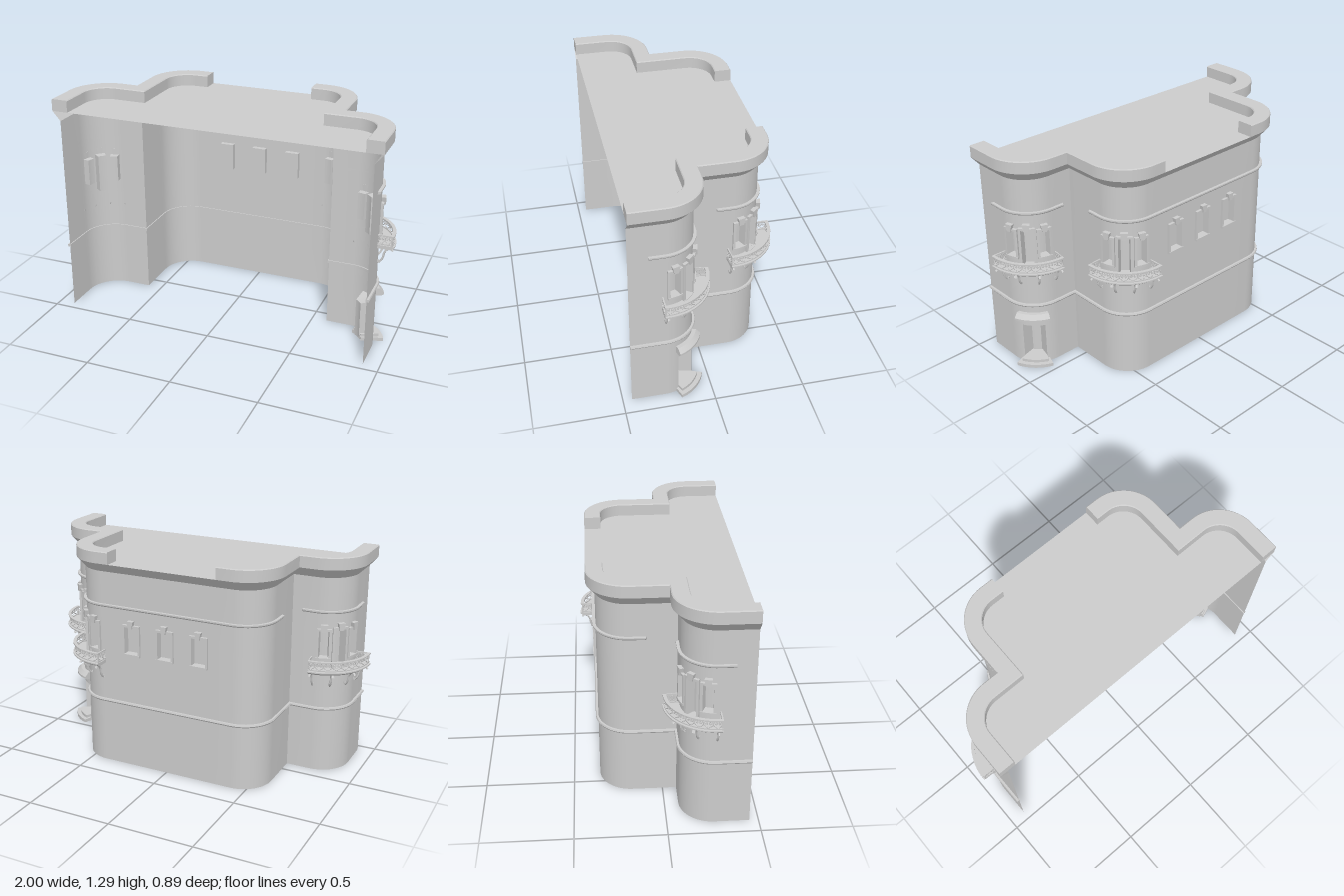
import * as THREE from 'three';
import { toCreasedNormals } from 'three/addons/utils/BufferGeometryUtils.js';

const W = 0.907, T = 0.587, FRONT = 0.45, B = 0.078, K = -0.35, R = 0.18, ARC = 16;
const mat = new THREE.MeshStandardMaterial({ color: 0xcccccc, side: THREE.DoubleSide });

// Wall plan from the left front end, round the back, to the right front end:
// each node has a position (x, z) and an outward offset direction (nx, nz).
const half = [{ x: W, z: FRONT, nx: 1, nz: 0 }];
function roundCorner(cx, cz) {
  for (let i = 0; i <= ARC; i++) {
    const a = (i / ARC) * Math.PI / 2, nx = Math.cos(a), nz = -Math.sin(a);
    half.push({ x: cx + R * nx, z: cz + R * nz, nx, nz });
  }
}
roundCorner(W - R, B + R);
half.push({ x: T, z: B, nx: 1, nz: -1 });
roundCorner(T - R, K + R);
const nodes = [...half, ...half.map(n => ({ ...n, x: -n.x, nx: -n.nx })).reverse()];
const S = [0];
for (let i = 1; i < nodes.length; i++) {
  S.push(S[i - 1] + Math.hypot(nodes[i].x - nodes[i - 1].x, nodes[i].z - nodes[i - 1].z));
}
const TOTAL = S[S.length - 1], MID = TOTAL / 2;
const WING = S[1 + ARC / 2], TOWER = S[3 + ARC + ARC / 2];

// Point at distance s along the wall, height y and offset d outward
function P(s, y, d) {
  let i = 0;
  while (i < S.length - 2 && S[i + 1] < s) i++;
  const a = nodes[i], b = nodes[i + 1], t = (s - S[i]) / (S[i + 1] - S[i]);
  const mix = k => a[k] + (b[k] - a[k]) * t;
  return [mix('x') + mix('nx') * d, y, mix('z') + mix('nz') * d];
}
const quad = (out, a, b, c, d) => out.push(...a, ...b, ...c, ...a, ...c, ...d);
function stations(s0, s1, extra = []) {
  const all = [s0, s1, ...S, ...extra].filter(s => s >= s0 && s <= s1).sort((a, b) => a - b);
  return all.filter((s, i) => i === 0 || s - all[i - 1] > 1e-5);
}
function meshOf(name, tris) {
  const g = new THREE.BufferGeometry();
  g.setAttribute('position', new THREE.Float32BufferAttribute(tris, 3));
  const m = new THREE.Mesh(toCreasedNormals(g, 0.5), mat);
  m.name = name;
  return m;
}
// Convex (d, y) profile carried along the wall from s0 to s1
function sweep(name, profile, s0, s1, closed = true) {
  const out = [], st = stations(s0, s1), n = profile.length;
  for (let i = 0; i < st.length - 1; i++) {
    for (let j = 0; j < (closed ? n : n - 1); j++) {
      const [d0, y0] = profile[j], [d1, y1] = profile[(j + 1) % n];
      quad(out, P(st[i], y0, d0), P(st[i + 1], y0, d0), P(st[i + 1], y1, d1), P(st[i], y1, d1));
    }
  }
  for (let j = 1; j < n - 1; j++) {
    const cap = s => [profile[0], profile[j], profile[j + 1]].map(([d, y]) => P(s, y, d));
    out.push(...cap(s0).flat(), ...cap(s1).reverse().flat());
  }
  return meshOf(name, out);
}
const rect = (d0, d1, y0, y1) => [[d0, y0], [d1, y0], [d1, y1], [d0, y1]];
// Ready geometry in (s, y, d) laid onto the wall
function bend(name, geo) {
  const p = geo.attributes.position;
  for (let i = 0; i < p.count; i++) p.setXYZ(i, ...P(p.getX(i), p.getY(i), p.getZ(i)));
  const m = new THREE.Mesh(toCreasedNormals(geo, 0.7), mat);
  m.name = name;
  return m;
}
const tube = (pts, r, segs) => new THREE.TubeGeometry(
  new THREE.CatmullRomCurve3(pts.map(p => new THREE.Vector3(...p))), segs, r, 5);

// Wall sheet with rectangular openings left out
function wall(holes) {
  const out = [];
  const st = stations(0, TOTAL, holes.flatMap(h => [h.s - h.w, h.s + h.w]));
  const ys = [...new Set([0, 1.17, ...holes.flatMap(h => [h.y0, h.y1])])].sort((a, b) => a - b);
  for (let i = 0; i < st.length - 1; i++) for (let j = 0; j < ys.length - 1; j++) {
    const s = (st[i] + st[i + 1]) / 2, y = (ys[j] + ys[j + 1]) / 2;
    if (holes.some(h => Math.abs(s - h.s) < h.w && y > h.y0 && y < h.y1)) continue;
    quad(out, P(st[i], ys[j], 0), P(st[i + 1], ys[j], 0), P(st[i + 1], ys[j + 1], 0), P(st[i], ys[j + 1], 0));
  }
  return meshOf('wall', out);
}
// Recess behind an opening; the inner panel may be smaller than the opening
function niche({ s, w, y0, y1, depth, taper = 0 }) {
  const out = [], n = 8, wi = w - taper, yi = y1 - taper;
  const ring = k => {
    const t = (k / n) * 2 - 1;
    return [P(s + t * w, y0, 0), P(s + t * wi, y0, -depth), P(s + t * wi, yi, -depth), P(s + t * w, y1, 0)];
  };
  for (let k = 0; k < n; k++) {
    const a = ring(k), b = ring(k + 1);
    for (let j = 0; j < 3; j++) quad(out, a[j], b[j], b[j + 1], a[j + 1]);
  }
  quad(out, ...ring(0));
  quad(out, ...ring(n).reverse());
  return meshOf('recess', out);
}
// Window surround with sill, head and keystone
function surround({ s, w, y0, y1 }) {
  const g = new THREE.Group(), f = 0.013;
  g.name = 'windowSurround';
  for (const k of [-1, 1]) {
    const c = s + k * (w + f / 2);
    g.add(sweep('jamb', rect(0, 0.014, y0, y1), c - f / 2, c + f / 2));
  }
  g.add(sweep('sill', rect(0, 0.018, y0 - f, y0), s - w - f, s + w + f));
  g.add(sweep('head', rect(0, 0.016, y1, y1 + f), s - w - f, s + w + f));
  const shape = new THREE.Shape([[-0.011, 0], [0.011, 0], [0.019, 0.042], [-0.019, 0.042]]
    .map(([x, y]) => new THREE.Vector2(x + s, y + y1 - 0.003)));
  g.add(bend('keystone', new THREE.ExtrudeGeometry(shape, { depth: 0.024, bevelEnabled: false })));
  return g;
}
// Curved balcony with scrolled railing and brackets
function balcony(s) {
  const g = new THREE.Group(), e = 0.16, D = 0.082;
  g.name = 'balcony';
  g.add(sweep('slab', [[0, 0.625], [0.074, 0.625], [0.092, 0.638], [0.092, 0.645], [0, 0.645]], s - e, s + e));
  g.add(sweep('bottomRail', rect(D - 0.006, D + 0.002, 0.649, 0.655), s - e, s + e));
  g.add(sweep('topRail', rect(D - 0.012, D + 0.007, 0.698, 0.706), s - e, s + e));
  for (const k of [-1, 1]) {
    const c = s + k * (e - 0.004);
    g.add(sweep('endBottomRail', rect(0, D, 0.649, 0.655), c - 0.004, c + 0.004));
    g.add(sweep('endTopRail', rect(0, D, 0.698, 0.706), c - 0.004, c + 0.004));
    g.add(sweep('endPost', rect(D - 0.008, D, 0.645, 0.7), c - 0.004, c + 0.004));
  }
  const curl = [[0, -0.021], [0.9, -0.004], [0.85, 0.014], [0.45, 0.019], [0.2, 0.008], [0.42, -0.002], [0.58, 0.007]];
  const count = 9, pitch = (2 * e - 0.016) / count;
  for (const k of [-1, 1]) {
    for (let i = 0; i < count; i++) {
      const c = s - e + 0.008 + pitch * (i + 0.5);
      g.add(bend('railScroll', tube(curl.map(([x, y]) => [c + k * x * pitch / 2, 0.677 + y, D - 0.002]), 0.0024, 24)));
    }
    // scrolls in the short end railings
    for (const m of [-1, 1]) for (const d of [0.021, 0.058]) {
      g.add(bend('railScroll', tube(curl.map(([x, y]) => [s + k * (e - 0.004), 0.677 + y, d + m * x * 0.018]), 0.0024, 24)));
    }
  }
  const leg = [[0.082, 0.612], [0.07, 0.624], [0.05, 0.616], [0.036, 0.596], [0.03, 0.568], [0.018, 0.545], [0.006, 0.535], [0.002, 0.55]];
  for (const t of [-1, -1 / 3, 1 / 3, 1]) {
    const c = s + t * R * Math.PI / 4;
    g.add(bend('bracket', tube(leg.map(([d, y]) => [c, y, d]), 0.006, 24)));
  }
  return g;
}

export function createModel() {
  const model = new THREE.Group();
  model.name = 'facadeBuilding';

  // Openings: three back windows, a trio at each balcony, and the entrance
  const corners = [WING, TOWER, TOTAL - WING];
  const windows = [-0.212, 0, 0.212].map(o => ({ s: MID + o, w: 0.042, y0: 0.705, y1: 0.865, depth: 0.03 }));
  for (const s of corners) {
    windows.push({ s, w: 0.031, y0: 0.648, y1: 0.872, depth: 0.045 });
    for (const k of [-1, 1]) windows.push({ s: s + k * 0.091, w: 0.027, y0: 0.705, y1: 0.862, depth: 0.035 });
  }
  const entrance = { s: WING, w: 0.066, y0: 0, y1: 0.25, depth: 0.075, taper: 0.022 };
  const holes = [...windows, entrance];
  model.add(wall(holes), ...holes.map(niche), ...windows.map(surround), ...corners.map(balcony));

  // Entrance canopy and steps
  model.add(sweep('canopy', [[0, 0.295], [0.032, 0.295], [0.046, 0.304], [0.046, 0.316], [0.022, 0.34], [0, 0.34]], WING - 0.083, WING + 0.083));
  model.add(sweep('lowerStep', rect(-0.07, 0.06, 0, 0.02), WING - 0.08, WING + 0.08));
  model.add(sweep('upperStep', rect(-0.07, 0.035, 0.02, 0.037), WING - 0.066, WING + 0.066));

  // String courses: one all round, upper ones round the wings and tower
  model.add(sweep('lowerBand', [[-0.006, 0.383], [0.01, 0.383], [0.015, 0.391], [0.012, 0.4], [-0.006, 0.4]], 0, TOTAL));
  const up = [[0, 0.966], [0.012, 0.966], [0.017, 0.973], [0.017, 0.981], [0, 0.981]], ext = R * Math.PI / 4 + 0.086;
  model.add(sweep('wingUpperBand', up, WING - ext, WING + ext));
  model.add(sweep('wingUpperBand', up, TOTAL - WING - ext, TOTAL - WING + ext));
  model.add(sweep('towerUpperBand', up, TOWER - ext, TOTAL - TOWER + ext));

  // Flared cornice, roof sheet and parapets
  const cornice = [], st = stations(0, TOTAL), o = 0.048;
  for (let i = 0; i < st.length - 1; i++) {
    quad(cornice, P(st[i], 1.17, 0), P(st[i + 1], 1.17, 0), P(st[i + 1], 1.225, o), P(st[i], 1.225, o));
  }
  model.add(meshOf('cornice', cornice));
  const roof = new THREE.Mesh(new THREE.ShapeGeometry(new THREE.Shape(
    nodes.map(n => new THREE.Vector2(n.x + n.nx * o, n.z + n.nz * o)))), mat);
  roof.name = 'roof';
  roof.rotation.x = Math.PI / 2;
  roof.position.y = 1.225;
  model.add(roof);
  const parapet = [[o, 1.225], [o, 1.29], [o - 0.005, 1.295], [-o + 0.005, 1.295], [-o, 1.29], [-o, 1.225]];
  model.add(sweep('leftParapet', parapet, 0, MID - 0.33, false));
  model.add(sweep('rightParapet', parapet, MID + 0.33, TOTAL, false));
  return model;
}
